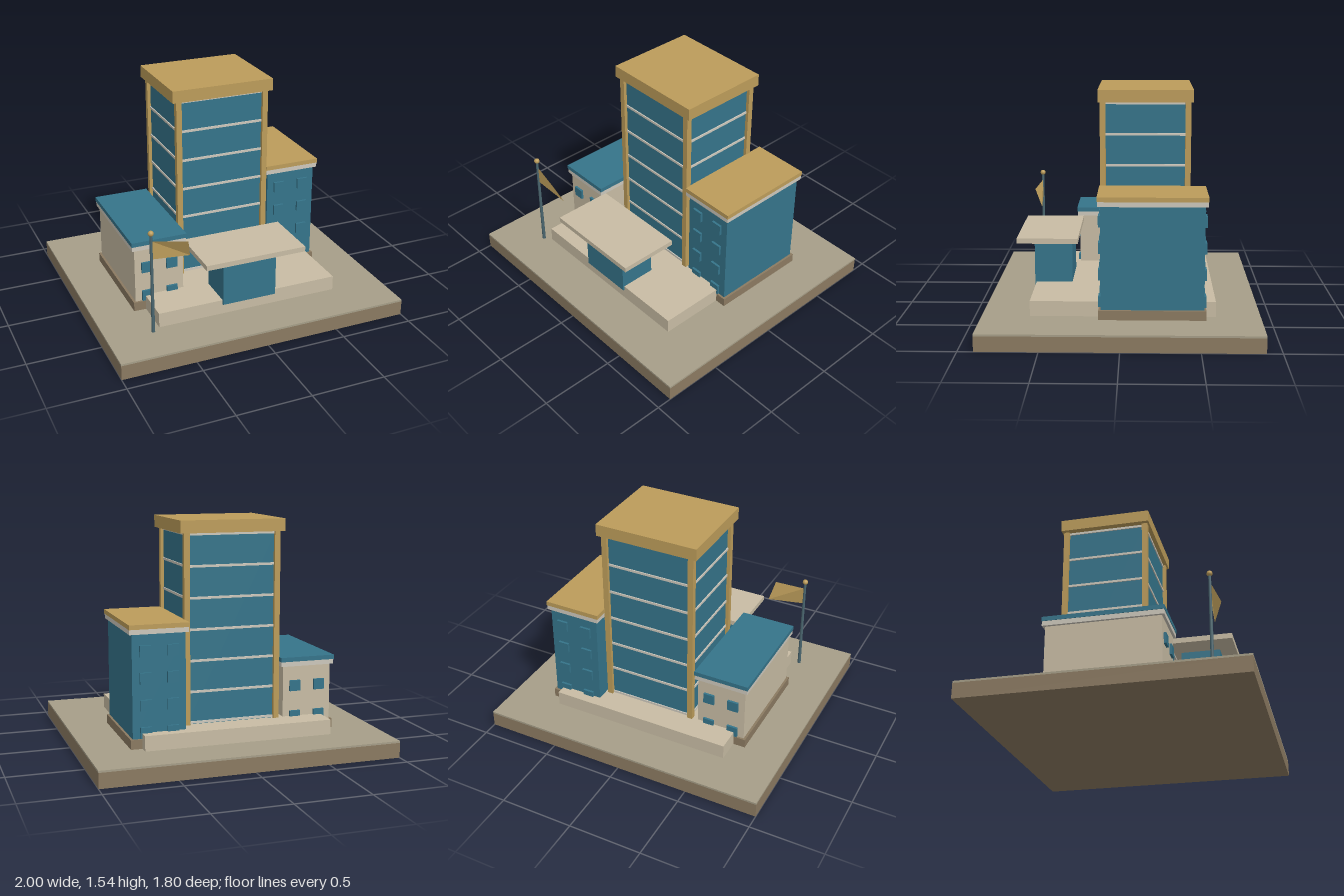
import * as THREE from 'three';

const mat = (color, extra = {}) => new THREE.MeshStandardMaterial({ color, ...extra });

export function createModel() {
  const teal = mat(0x35748a), gold = mat(0xbc9c5a), beige = mat(0xc8bca4), brown = mat(0x8b7a61);
  const paving = mat(0xa69e88), trim = mat(0xcdc8bc), steel = mat(0x4a666f);
  const model = new THREE.Group();
  model.name = 'officeComplex';

  const group = (name) => {
    const g = new THREE.Group();
    g.name = name;
    model.add(g);
    return g;
  };
  // Box given by its extents along each axis
  const box = (parent, name, material, [x0, x1], [y0, y1], [z0, z1]) => {
    const mesh = new THREE.Mesh(new THREE.BoxGeometry(x1 - x0, y1 - y0, z1 - z0), material);
    mesh.position.set((x0 + x1) / 2, (y0 + y1) / 2, (z0 + z1) / 2);
    mesh.name = name;
    parent.add(mesh);
    return mesh;
  };

  // Ground
  box(model, 'groundSlab', brown, [-1, 1], [0, 0.1], [-0.9, 0.9]);
  box(model, 'paving', paving, [-1, 1], [0.1, 0.113], [-0.9, 0.9]);
  box(model, 'podium', beige, [-0.637, 0.637], [0.113, 0.213], [-0.61, 0.588]);

  // Tower: glass core, floor bands, corner posts and roof
  const tower = group('tower');
  const tz = -0.153;
  box(tower, 'glassCore', teal, [-0.305, 0.305], [0.213, 1.463], [tz - 0.275, tz + 0.275]);
  for (let i = 0; i < 7; i++) {
    const y = 0.225 + i * 0.205;
    box(tower, 'floorBand', trim, [-0.312, 0.312], [y - 0.008, y + 0.008], [tz - 0.282, tz + 0.282]);
  }
  for (const sx of [-1, 1]) for (const sz of [-1, 1]) {
    const x = sx * 0.309, z = tz + sz * 0.279;
    box(tower, 'cornerPost', gold, [x - 0.019, x + 0.019], [0.213, 1.463], [z - 0.019, z + 0.019]);
  }
  box(tower, 'towerRoof', gold, [-0.356, 0.356], [1.463, 1.545], [tz - 0.311, tz + 0.311]);

  // Side wing with plinth, windows front and back, and a two-layer roof
  const wing = (name, cx, w, cz, d, top, wallMat, roofMat, rowYs) => {
    const g = group(name);
    const ext = (c, size, grow) => [c - size / 2 - grow, c + size / 2 + grow];
    box(g, 'plinth', brown, ext(cx, w, 0.016), [0.113, 0.175], ext(cz, d, 0.014));
    box(g, 'walls', wallMat, ext(cx, w, 0), [0.175, top], ext(cz, d, 0));
    box(g, 'cornice', trim, ext(cx, w, 0.018), [top, top + 0.032], ext(cz, d, 0.017));
    box(g, 'roof', roofMat, ext(cx, w, 0.021), [top + 0.032, top + 0.062], ext(cz, d, 0.02));
    for (const y of rowYs) for (const sx of [-1, 1]) for (const sz of [-1, 1]) {
      const x = cx + sx * w * 0.255, z = cz + sz * (d / 2 + 0.003);
      box(g, 'window', teal, ext(x, 0.075, 0), ext(y, 0.072, 0), ext(z, 0.026, 0));
    }
  };
  wing('leftWing', 0.521, 0.352, -0.201, 0.662, 0.85, teal, gold, [0.215, 0.392, 0.567, 0.741]);
  wing('rightWing', -0.534, 0.34, -0.057, 0.754, 0.557, beige, teal, [0.215, 0.423]);
  box(model, 'connectingBridge', teal, [0.29, 0.36], [0.66, 0.79], [-0.26, -0.04]);

  // Entrance hall and canopy
  const entrance = group('entrance');
  box(entrance, 'entranceHall', teal, [-0.19, 0.19], [0.182, 0.52], [0.342, 0.598]);
  box(entrance, 'canopy', beige, [-0.35, 0.35], [0.52, 0.555], [0.294, 0.702]);

  // Flagpole
  const flagpole = group('flagpole');
  flagpole.position.set(-0.69, 0, 0.622);
  const pole = new THREE.Mesh(new THREE.CylinderGeometry(0.009, 0.012, 0.69, 12), steel);
  pole.position.y = 0.457;
  pole.name = 'pole';
  const finial = new THREE.Mesh(new THREE.SphereGeometry(0.019, 16, 12), gold);
  finial.position.y = 0.815;
  finial.name = 'finial';

  // Flag: a folded sheet of two triangles
  const flagGeo = new THREE.BufferGeometry();
  const a = [0.005, 0.76, 0], b = [0.005, 0.635, 0], c = [0.265, 0.605, -0.016], e = [0.235, 0.732, 0.035];
  flagGeo.setAttribute('position', new THREE.Float32BufferAttribute([a, b, c, a, c, e].flat(), 3));
  flagGeo.computeVertexNormals();
  const flag = new THREE.Mesh(flagGeo, mat(0xbc9c5a, { side: THREE.DoubleSide, flatShading: true }));
  flag.name = 'flag';
  flagpole.add(pole, finial, flag);

  return model;
}
